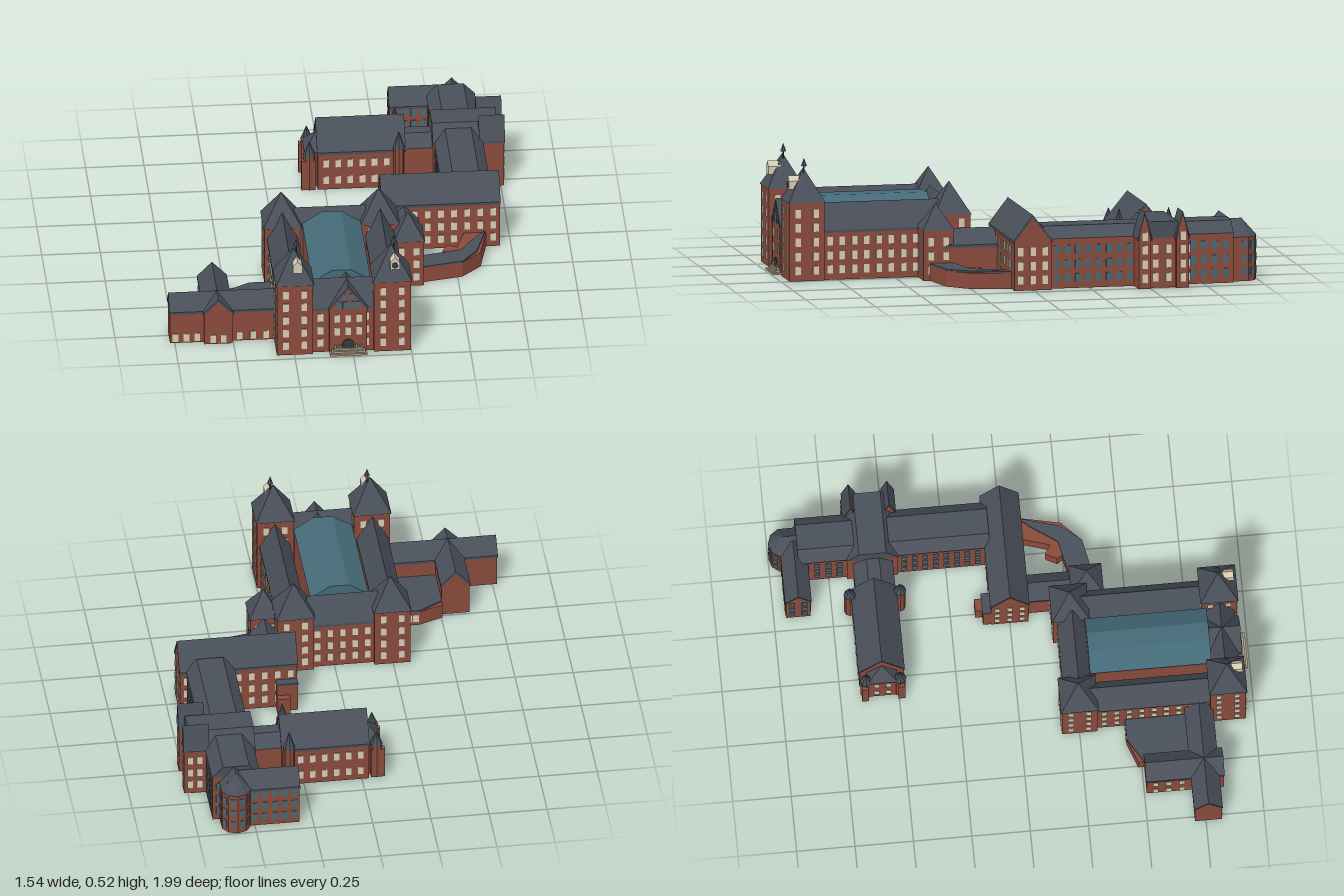
import * as THREE from 'three';
import { mergeGeometries } from 'three/addons/utils/BufferGeometryUtils.js';

const mat = (color) => new THREE.MeshStandardMaterial({ color, flatShading: true, side: THREE.DoubleSide });

export function createModel() {
  const root = new THREE.Group();
  const brick = mat(0x8a4b3c), slate = mat(0x4a505a), cream = mat(0xd6ccb6),
    glass = mat(0x456a78), dark = mat(0x33383f), stone = mat(0xa89a80);

  const add = (name, geo, m) => {
    const mesh = new THREE.Mesh(geo, m);
    mesh.name = name;
    root.add(mesh);
    return mesh;
  };
  const boxGeo = (x0, x1, y0, y1, z0, z1) =>
    new THREE.BoxGeometry(x1 - x0, y1 - y0, z1 - z0).translate((x0 + x1) / 2, (y0 + y1) / 2, (z0 + z1) / 2);
  const box = (name, x0, x1, y0, y1, z0, z1, m = brick) => add(name, boxGeo(x0, x1, y0, y1, z0, z1), m);

  // section of [u, y] points pushed along z or x over a footprint
  const prism = (name, pts, x0, x1, z0, z1, axis, m, over = 0) => {
    const len = (axis === 'x' ? x1 - x0 : z1 - z0) + 2 * over;
    const g = new THREE.ExtrudeGeometry(new THREE.Shape(pts.map((p) => new THREE.Vector2(...p))),
      { depth: len, bevelEnabled: false }).translate(0, 0, -len / 2);
    if (axis === 'x') g.rotateY(Math.PI / 2);
    return add(name, g.translate((x0 + x1) / 2, 0, (z0 + z1) / 2), m);
  };

  // brick body with gable ends under a slate pitched roof
  const gabled = (name, x0, x1, z0, z1, eave, ridge, axis) => {
    const w = (axis === 'x' ? z1 - z0 : x1 - x0) / 2, t = 0.012, o = w + 0.004;
    prism(name + 'Walls', [[-w, 0], [w, 0], [w, eave - t / 2], [0, ridge - t / 2], [-w, eave - t / 2]], x0, x1, z0, z1, axis, brick);
    prism(name + 'Roof', [[-o, eave - t], [0, ridge - t], [o, eave - t], [o, eave], [0, ridge], [-o, eave]], x0, x1, z0, z1, axis, slate, 0.003);
  };
  // brick body under a roof with sloped sides and a flat top
  const mansard = (name, x0, x1, z0, z1, eave, top, inset, axis, roofMat = slate) => {
    const w = (axis === 'x' ? z1 - z0 : x1 - x0) / 2;
    box(name + 'Walls', x0, x1, 0, eave, z0, z1);
    prism(name + 'Roof', [[-w - 0.003, eave], [w + 0.003, eave], [w - inset, top], [inset - w, top]], x0, x1, z0, z1, axis, roofMat);
  };
  const pyramid = (name, x0, x1, z0, z1, y0, y1, m = slate) =>
    add(name, new THREE.ConeGeometry(Math.SQRT1_2, 1, 4).rotateY(Math.PI / 4)
      .scale(x1 - x0 + 0.01, y1 - y0, z1 - z0 + 0.01).translate((x0 + x1) / 2, (y0 + y1) / 2, (z0 + z1) / 2), m);

  // windows are collected and merged per colour
  const panes = new Map([[cream, []], [glass, []]]);
  const ROWS = [0.045, 0.105, 0.167], TALL = [...ROWS, 0.23, 0.29];
  const windows = (side, plane, from, to, n, rows = ROWS, m = cream, w = 0.024, h = 0.036) => {
    for (let i = 0; i < n; i++) for (const y of rows) {
      const c = from + (to - from) * (i + 0.5) / n, d = 0.003;
      panes.get(m).push(side === 'x'
        ? boxGeo(plane - d, plane + d, y - h / 2, y + h / 2, c - w / 2, c + w / 2)
        : boxGeo(c - w / 2, c + w / 2, y - h / 2, y + h / 2, plane - d, plane + d));
    }
  };
  const allRound = (x0, x1, z0, z1, nx, nz, rows, m) => {
    for (const z of [z0, z1]) windows('z', z, x0, x1, nx, rows, m);
    for (const x of [x0, x1]) windows('x', x, z0, z1, nz, rows, m);
  };

  // courtyard corner towers
  const tower = (name, x0, x1, z0, z1, wall, apex, rows) => {
    box(name + 'Walls', x0, x1, 0, wall, z0, z1);
    pyramid(name + 'Roof', x0, x1, z0, z1, wall, apex);
    allRound(x0, x1, z0, z1, 2, 2, rows);
  };
  for (const [side, x0, x1] of [['right', -0.325, -0.17], ['left', 0.09, 0.248]]) {
    tower(side + 'FrontTower', x0, x1, 0.81, 0.963, 0.335, 0.478, TALL);
    tower(side + 'RearTower', x0, x1, 0.175, 0.327, 0.265, 0.4, TALL.slice(0, 4));
    // gabled stone dormer and finial on the front towers
    const c = (x0 + x1) / 2 + 0.012, k = 0.02;
    prism(side + 'Dormer', [[-k, 0.39], [k, 0.39], [k, 0.425], [0, 0.447], [-k, 0.425]], c - k, c + k, 0.9, 0.955, 'z', cream);
    if (side === 'left') add('clockFace', new THREE.CylinderGeometry(0.014, 0.014, 0.004, 16)
      .rotateX(Math.PI / 2).translate(c, 0.41, 0.956), dark);
    add(side + 'FinialPole', new THREE.CylinderGeometry(0.003, 0.003, 0.05, 6).translate(c, 0.478, 0.886), dark);
    add(side + 'Finial', new THREE.ConeGeometry(0.013, 0.035, 6).translate(c, 0.504, 0.886), slate);
  }

  // courtyard wings and glazed hall
  gabled('rightSideWing', -0.31, -0.185, 0.3, 0.83, 0.215, 0.325, 'z');
  gabled('leftSideWing', 0.11, 0.233, 0.3, 0.83, 0.215, 0.325, 'z');
  gabled('frontWing', -0.19, 0.11, 0.825, 0.948, 0.215, 0.325, 'x');
  gabled('rearWing', -0.19, 0.11, 0.195, 0.32, 0.215, 0.325, 'x');
  mansard('glazedHall', -0.16, 0.085, 0.31, 0.83, 0.275, 0.329, 0.082, 'z', glass);
  windows('x', -0.31, 0.33, 0.81, 9);
  windows('x', 0.233, 0.33, 0.81, 9);
  windows('z', 0.195, -0.17, 0.1, 5);
  windows('z', 0.948, -0.17, 0.09, 4);

  // entrance bay with gable, arch and steps
  gabled('entranceBay', -0.1, 0.06, 0.825, 0.963, 0.215, 0.32, 'z');
  windows('z', 0.963, -0.09, 0.05, 3, [0.105, 0.167]);
  windows('z', 0.963, -0.075, 0.035, 4, [0.232], glass, 0.02, 0.034);
  windows('z', 0.963, -0.05, 0.01, 2, [0.272], glass, 0.02, 0.028);
  add('entranceArch', new THREE.CylinderGeometry(0.026, 0.026, 0.012, 20, 1, false, 0, Math.PI)
    .rotateZ(Math.PI / 2).rotateY(Math.PI / 2).rotateX(0).translate(0, 0, 0), dark).visible = false;
  root.remove(root.getObjectByName('entranceArch'));
  const arch = new THREE.Shape().moveTo(-0.026, 0.02).lineTo(0.026, 0.02).lineTo(0.026, 0.04);
  arch.absarc(0, 0.04, 0.026, 0, Math.PI);
  add('entranceArch', new THREE.ExtrudeGeometry(arch, { depth: 0.006, bevelEnabled: false }).translate(-0.02, 0, 0.962), dark);
  for (let i = 0; i < 3; i++) box('entranceStep', -0.1 + i * 0.008, 0.06 - i * 0.008, i * 0.009, 0.009 + i * 0.009, 0.95, 0.992 - i * 0.008, stone);
  for (const x of [-0.075, -0.055, 0.015, 0.035]) box('stepBaluster', x - 0.004, x + 0.004, 0.02, 0.042, 0.965, 0.972, stone);

  // low annex on the right
  gabled('annexWing', -0.77, -0.31, 0.703, 0.818, 0.15, 0.215, 'x');
  gabled('annexCrossWing', -0.625, -0.505, 0.51, 0.84, 0.15, 0.215, 'z');
  box('annexInfill', -0.505, -0.3, 0, 0.065, 0.51, 0.71);
  box('annexInfillRoof', -0.505, -0.3, 0.065, 0.073, 0.51, 0.71, slate);
  const corner = (y0, y1, cut, m) => add('annexCorner', new THREE.ExtrudeGeometry(new THREE.Shape(
    [[-0.505, -0.51], [-0.3, -0.51], [-0.3, -0.445], [-0.4, -0.445], [-0.505, cut]].map((p) => new THREE.Vector2(...p))),
  { depth: y1 - y0, bevelEnabled: false }).rotateX(-Math.PI / 2).translate(0, y0, 0), m);
  corner(0, 0.065, -0.485, brick);
  corner(0.065, 0.073, -0.509, slate);
  windows('z', 0.818, -0.77, -0.63, 3, [0.025]);
  windows('z', 0.84, -0.61, -0.52, 2, [0.025]);
  windows('z', 0.818, -0.5, -0.33, 3, [0.025]);
  windows('z', 0.445, -0.4, -0.31, 3, [0.035]);
  windows('x', -0.625, 0.52, 0.69, 3, [0.025, 0.1]);

  // link tower, link and curved low range
  box('linkTowerWalls', 0.225, 0.35, 0, 0.215, 0.27, 0.4);
  pyramid('linkTowerRoof', 0.225, 0.35, 0.27, 0.4, 0.215, 0.325);
  allRound(0.225, 0.35, 0.27, 0.4, 2, 2);
  gabled('link', 0.235, 0.35, 0.05, 0.3, 0.15, 0.215, 'z');
  const sheet = (name, pts, y0, y1, m) => add(name, new THREE.ExtrudeGeometry(
    new THREE.Shape(pts.map(([x, z]) => new THREE.Vector2(x, -z))),
    { depth: y1 - y0, bevelEnabled: false }).rotateX(-Math.PI / 2).translate(0, y0, 0), m);
  sheet('curvedRangeWalls', [[0.34, 0.375], [0.52, 0.338], [0.605, 0.255], [0.645, 0.07], [0.55, 0.07],
    [0.51, 0.2], [0.47, 0.175], [0.445, 0.225], [0.46, 0.25], [0.34, 0.275]], 0, 0.068, brick);
  sheet('curvedRangeRoof', [[0.34, 0.375], [0.52, 0.338], [0.59, 0.25], [0.64, 0.075],
    [0.6, 0.12], [0.52, 0.235], [0.34, 0.275]], 0.068, 0.075, slate);

  // transverse hall with a small rear porch
  gabled('transverseHall', 0.198, 0.702, -0.08, 0.08, 0.215, 0.325, 'x');
  allRound(0.198, 0.702, -0.08, 0.08, 9, 3);
  box('rearPorch', 0.2, 0.29, 0, 0.13, -0.115, -0.07);
  box('rearPorchRoof', 0.198, 0.292, 0.13, 0.138, -0.117, -0.07, slate);
  box('rearPorchLobby', 0.235, 0.29, 0, 0.08, -0.145, -0.11);

  // long rear range
  mansard('longRange', 0.47, 0.672, -0.88, -0.06, 0.215, 0.264, 0.045, 'z');
  for (const x of [0.47, 0.672]) {
    windows('x', x, -0.45, -0.09, 8, ROWS, glass);
    windows('x', x, -0.87, -0.68, 4, ROWS, glass);
  }
  windows('z', -0.88, 0.47, 0.67, 4, ROWS, glass);

  // projecting bay with twin pointed gables
  mansard('crossBay', 0.46, 0.74, -0.672, -0.455, 0.215, 0.285, 0.05, 'x');
  for (const z of [-0.64, -0.475]) {
    gabled('bayGable', 0.66, 0.765, z - 0.027, z + 0.027, 0.22, 0.33, 'x');
    windows('x', 0.765, z - 0.02, z + 0.02, 1, [...ROWS, 0.225]);
  }
  windows('x', 0.74, -0.61, -0.5, 2);
  windows('z', -0.672, 0.68, 0.76, 2);
  windows('z', -0.455, 0.68, 0.76, 2);

  // polygonal end and its side wing
  add('polygonEndWalls', new THREE.CylinderGeometry(0.064, 0.064, 0.19, 10).translate(0.58, 0.095, -0.934), brick);
  add('polygonEndRoof', new THREE.ConeGeometry(0.066, 0.075, 10).translate(0.58, 0.2275, -0.934), slate);
  box('polygonEndNeck', 0.518, 0.642, 0, 0.19, -0.934, -0.87);
  prism('polygonEndNeckRoof', [[-0.064, 0.19], [0.064, 0.19], [0, 0.264]], 0.518, 0.642, -0.934, -0.86, 'z', slate);
  for (let i = 0; i < 6; i++) for (const y of ROWS.map((r) => r * 0.93)) {
    const a = Math.PI * (0.7 + i * 0.2 - 0.2 + 0.0), r = 0.061;
    panes.get(glass).push(new THREE.BoxGeometry(0.02, 0.034, 0.006).rotateY(a)
      .translate(0.58 + Math.sin(a) * r, y, -0.934 + Math.cos(a) * r));
  }
  gabled('endWing', 0.308, 0.56, -0.948, -0.842, 0.185, 0.255, 'x');
  windows('z', -0.948, 0.31, 0.52, 5, ROWS.map((r) => r * 0.93), glass);
  windows('z', -0.842, 0.31, 0.47, 4, ROWS.map((r) => r * 0.93), glass);
  windows('x', 0.308, -0.948, -0.842, 2, ROWS.map((r) => r * 0.93), glass);

  // chapel with connector, canted end and turrets
  gabled('chapel', -0.03, 0.343, -0.665, -0.475, 0.18, 0.3, 'x');
  mansard('chapelConnector', 0.34, 0.48, -0.645, -0.48, 0.18, 0.225, 0.055, 'x');
  for (const z of [-0.665, -0.475]) windows('z', z, -0.02, 0.29, 6, [0.045, 0.125]);
  box('chapelEndWalls', -0.08, -0.02, 0, 0.165, -0.63, -0.51);
  pyramid('chapelEndRoof', -0.08, 0.02, -0.63, -0.51, 0.165, 0.235);
  windows('x', -0.08, -0.62, -0.52, 2, [0.045, 0.125]);
  const turret = (x, z, r, wall, apex) => {
    add('turretWalls', new THREE.CylinderGeometry(r, r, wall, 8).translate(x, wall / 2, z), brick);
    add('turretSpire', new THREE.ConeGeometry(r * 1.15, apex - wall, 8).translate(x, (wall + apex) / 2, z), slate);
  };
  for (const s of [-1, 1]) {
    turret(0.315, -0.567 + s * 0.108, 0.023, 0.2, 0.28);
    turret(-0.065, -0.567 + s * 0.072, 0.024, 0.16, 0.225);
    box('chapelButtress', -0.1, -0.04, 0, 0.14, -0.567 + s * 0.078 - 0.014, -0.567 + s * 0.078 + 0.014);
  }

  add('creamWindows', mergeGeometries(panes.get(cream)), cream);
  add('glassWindows', mergeGeometries(panes.get(glass)), glass);
  return root;
}
